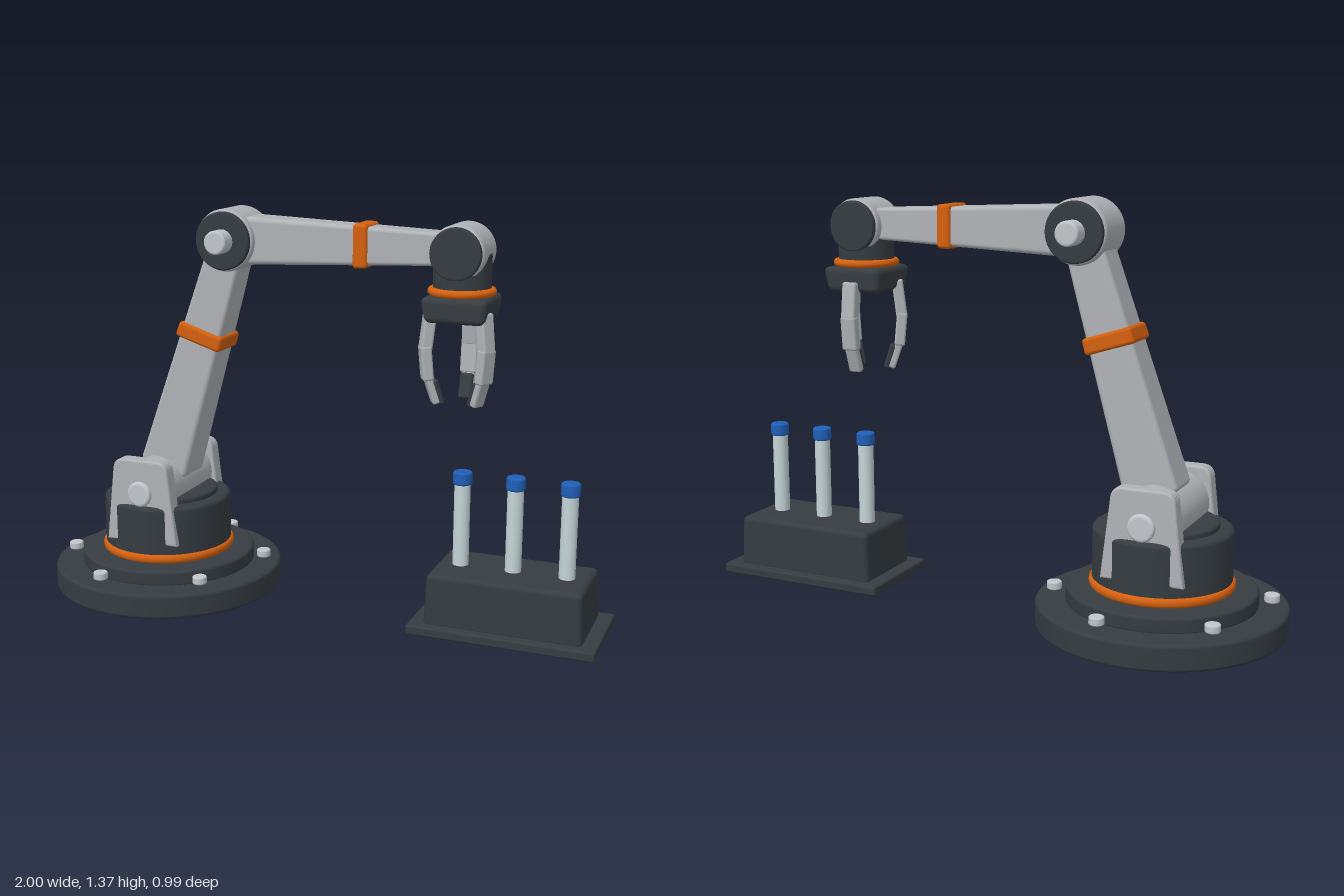
import * as THREE from 'three';
import { RoundedBoxGeometry } from 'three/addons/geometries/RoundedBoxGeometry.js';

const mat = (name, color) => Object.assign(new THREE.MeshStandardMaterial({ color }), { name });
const YAW = Math.PI / 12;

export function createModel() {
  const light = mat('light grey', 0xb0b2b6);
  const dark = mat('charcoal', 0x363c41);
  const orange = mat('orange', 0xd4600f);
  const steel = mat('steel', 0xc2c6ca);
  const glass = mat('pale glass', 0xc4d4d6);
  const blue = mat('blue', 0x1f5fb8);

  const add = (parent, name, geo, material) => {
    const m = new THREE.Mesh(geo, material);
    m.name = name;
    parent.add(m);
    return m;
  };
  const addGroup = (parent, name, x, y, z) => {
    const g = new THREE.Group();
    g.name = name;
    g.position.set(x, y, z);
    parent.add(g);
    return g;
  };

  // Upright cylinder from y0 to y1 with rounded rims
  const disc = (r, y0, y1, b = 0.01, seg = 48) => {
    const p = [[0, y0], [r - b - 0.002, y0]];
    for (let i = 0; i <= 4; i++) {
      const a = (i / 4) * Math.PI / 2;
      p.push([r - b + b * Math.sin(a), y0 + b - b * Math.cos(a)]);
    }
    for (let i = 0; i <= 4; i++) {
      const a = (i / 4) * Math.PI / 2;
      p.push([r - b + b * Math.cos(a), y1 - b + b * Math.sin(a)]);
    }
    p.push([r - b - 0.002, y1], [0, y1]);
    return new THREE.LatheGeometry(p.map(([x, y]) => new THREE.Vector2(x, y)), seg);
  };
  // The same, lying along z
  const axle = (r, z0, z1, b = 0.01) => disc(r, z0, z1, b).rotateX(Math.PI / 2);

  // Rounded box from y0 to y1, tapering from [x, z] size a to size b
  const taper = (a, b, y0, y1, r = 0.015) => {
    const g = new RoundedBoxGeometry(a[0], y1 - y0, a[1], 3, r);
    const p = g.attributes.position;
    for (let i = 0; i < p.count; i++) {
      const t = p.getY(i) / (y1 - y0) + 0.5;
      p.setX(i, p.getX(i) * (1 + (b[0] / a[0] - 1) * t));
      p.setZ(i, p.getZ(i) * (1 + (b[1] / a[1] - 1) * t));
    }
    return g.translate(0, (y0 + y1) / 2, 0);
  };

  const model = new THREE.Group();
  model.name = 'robotArmWithVialRack';

  // Fixed base with its ring of bolts
  const base = addGroup(model, 'base', -0.592, 0, 0.09);
  add(base, 'baseDisc', disc(0.408, 0, 0.086, 0.012, 64), dark);
  add(base, 'baseStep', disc(0.31, 0.08, 0.135, 0.01, 64), dark);
  for (let i = 0; i < 6; i++) {
    const a = Math.PI / 6 + i * Math.PI / 3;
    add(base, 'bolt', disc(0.025, 0.1, 0.127, 0.005, 16), steel)
      .position.set(0.35 * Math.cos(a), 0, 0.35 * Math.sin(a));
  }

  // Everything above the base turns with the turret
  const arm = addGroup(model, 'arm', -0.592, 0, 0.09);
  arm.rotation.y = YAW;
  add(arm, 'turretRing', disc(0.236, 0.135, 0.168, 0.014, 64), orange);
  add(arm, 'turret', disc(0.226, 0.13, 0.337, 0.015, 64), dark);
  add(arm, 'turretCap', disc(0.18, 0.33, 0.356, 0.008), dark);

  // Shoulder brackets and pivot
  const plate = new THREE.Shape();
  plate.moveTo(-0.128, 0.208);
  plate.lineTo(0.128, 0.208);
  plate.lineTo(0.098, 0.465);
  plate.quadraticCurveTo(0.094, 0.492, 0.066, 0.492);
  plate.lineTo(-0.066, 0.492);
  plate.quadraticCurveTo(-0.094, 0.492, -0.098, 0.465);
  plate.closePath();
  const bracket = new THREE.ExtrudeGeometry(plate, {
    depth: 0.04, bevelSize: 0.008, bevelThickness: 0.008, bevelSegments: 3, curveSegments: 6,
  }).translate(0, 0, -0.02);
  for (const s of [-1, 1]) {
    add(arm, 'shoulderBracket', bracket, light).position.z = s * 0.177;
    add(arm, 'shoulderPin', axle(0.045, -0.03, 0.03), steel).position.set(0, 0.38, s * 0.19);
  }
  add(arm, 'shoulderBarrel', axle(0.105, -0.155, 0.155), light).position.y = 0.38;

  // Upper arm leaning towards the elbow
  const upper = addGroup(arm, 'upperArm', 0, 0.38, 0);
  upper.rotation.z = -Math.atan2(0.28, 0.882);
  add(upper, 'upperArmBeam', taper([0.185, 0.15], [0.13, 0.12], 0.06, 0.87, 0.018), light);
  add(upper, 'upperArmBand', taper([0.174, 0.152], [0.17, 0.15], 0.545, 0.6, 0.012), orange);

  // Elbow and wrist barrels with dark end caps
  const joint = (name, u, y, r, half) => {
    const g = addGroup(arm, name, u, y, 0);
    add(g, name + 'Barrel', axle(r, -half, half, 0.014), light);
    for (const s of [-1, 1]) {
      add(g, name + 'Cap', axle(r * 0.93, -0.015, 0.015, 0.006), dark).position.z = s * half;
    }
    return g;
  };
  const elbow = joint('elbow', 0.28, 1.262, 0.105, 0.086);
  add(elbow, 'elbowPin', axle(0.04, -0.158, 0.158, 0.008), steel);
  joint('wrist', 1.084, 1.255, 0.091, 0.08);

  // Forearm
  const fore = addGroup(arm, 'forearm', 0.28, 1.262, 0);
  fore.rotation.z = -Math.PI / 2;
  add(fore, 'forearmBeam', taper([0.162, 0.128], [0.104, 0.1], 0.06, 0.75, 0.018), light);
  add(fore, 'forearmBand', taper([0.147, 0.132], [0.143, 0.128], 0.45, 0.5, 0.012), orange);

  // Gripper: collar, ring, palm and three bent fingers
  const gripper = addGroup(arm, 'gripper', 1.084, 0, 0);
  add(gripper, 'gripperCollar', disc(0.094, 1.1, 1.262, 0.02), dark);
  add(gripper, 'gripperRing', disc(0.111, 1.116, 1.142, 0.012), orange);
  add(gripper, 'palm', taper([0.196, 0.196], [0.222, 0.222], 1.032, 1.117, 0.02), dark);

  const bar = (parent, name, [x0, y0], [x1, y1], thick, wide, material) => {
    const len = Math.hypot(x1 - x0, y1 - y0);
    const m = add(parent, name, new RoundedBoxGeometry(thick, len, wide, 3, 0.008), material);
    m.position.set((x0 + x1) / 2, (y0 + y1) / 2, 0);
    m.rotation.z = -Math.atan2(x1 - x0, y1 - y0);
  };
  for (let i = 0; i < 3; i++) {
    const f = addGroup(gripper, 'finger', 0, 0, 0);
    f.rotation.y = -(Math.PI / 6 + i * Math.PI * 2 / 3);
    bar(f, 'fingerUpper', [0.118, 0.935], [0.102, 1.068], 0.038, 0.052, light);
    bar(f, 'fingerMiddle', [0.108, 0.84], [0.119, 0.955], 0.036, 0.056, light);
    bar(f, 'fingerTip', [0.078, 0.762], [0.11, 0.855], 0.026, 0.046, light);
    bar(f, 'fingerPad', [0.062, 0.76], [0.088, 0.842], 0.022, 0.044, dark);
  }

  // Rack with three capped vials
  const rack = addGroup(model, 'vialRack', 0.648, 0, -0.241);
  rack.rotation.y = YAW;
  add(rack, 'rackPlate', taper([0.628, 0.36], [0.628, 0.36], 0, 0.034, 0.008), dark);
  add(rack, 'rackBlock', taper([0.53, 0.293], [0.516, 0.28], 0.02, 0.206, 0.018), dark);
  for (const x of [-0.18, 0, 0.18]) {
    add(rack, 'vial', disc(0.027, 0.19, 0.49, 0.004, 32), glass).position.x = x;
    add(rack, 'vialCap', disc(0.032, 0.485, 0.53, 0.007, 32), blue).position.x = x;
  }
  return model;
}
